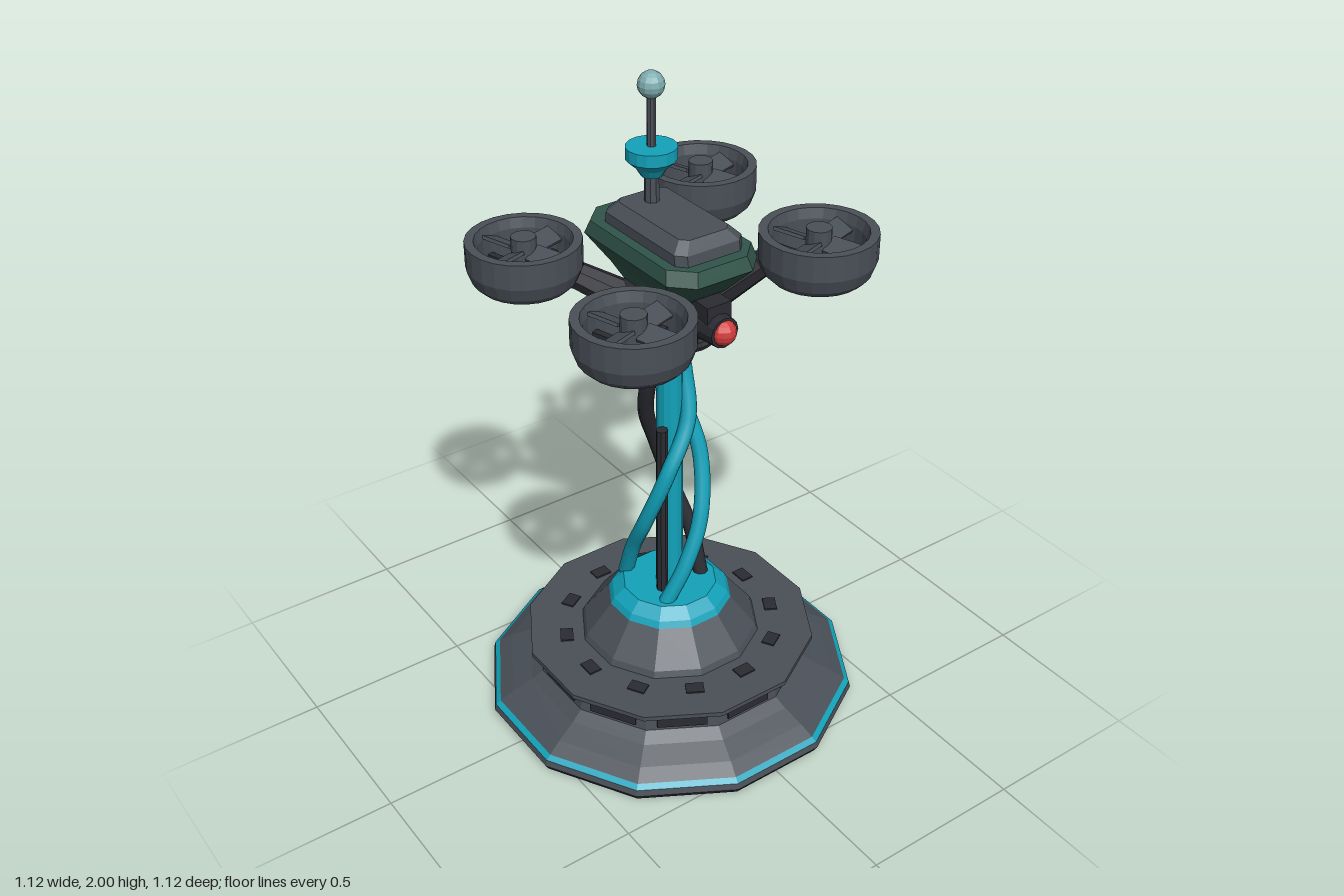
import * as THREE from 'three';

const mat = (name, color) => {
  const m = new THREE.MeshStandardMaterial({ color });
  m.name = name;
  return m;
};

export function createModel() {
  const gray = mat('slate gray', 0x4a5058);
  const dark = mat('charcoal', 0x2b2c33);
  const green = mat('deep green', 0x305449);
  const cyan = mat('cyan', 0x12a2ba);
  const red = mat('lens red', 0xd03c3c);
  const pale = mat('pale teal', 0x7fadb0);

  const model = new THREE.Group();
  model.name = 'droneOnStand';

  // Adds a mesh; faceted parts get their own face normals
  function add(name, geo, material, x = 0, y = 0, z = 0, parent = model, faceted = true) {
    let g = geo;
    if (faceted) {
      g = geo.index ? geo.toNonIndexed() : geo;
      g.computeVertexNormals();
    }
    const mesh = new THREE.Mesh(g, material);
    mesh.name = name;
    mesh.position.set(x, y, z);
    parent.add(mesh);
    return mesh;
  }
  const lathe = (pts, n) => new THREE.LatheGeometry(pts.map(p => new THREE.Vector2(p[0], p[1])), n);
  // Twelve-sided lathe with flat sides on the axes; radii are measured to the flats
  const twelve = (pts) =>
    lathe(pts.map(([r, y]) => [r / Math.cos(Math.PI / 12), y]), 12).rotateY(Math.PI / 12);

  // Eight-sided tapered block; each section is [halfX, halfZ, corner, y, zOffset]
  function octBlock(sections) {
    const pos = [], idx = [], n = 8;
    for (const [a, b, c, y, dz] of sections) {
      const ring = [[a, b - c], [a - c, b], [c - a, b], [-a, b - c], [-a, c - b], [c - a, -b], [a - c, -b], [a, c - b]];
      for (const [x, z] of ring) pos.push(x, y, z + dz);
    }
    for (let s = 0; s < sections.length - 1; s++) {
      for (let i = 0; i < n; i++) {
        const p = s * n + i, q = s * n + (i + 1) % n;
        idx.push(p, p + n, q, q, p + n, q + n);
      }
    }
    const top = (sections.length - 1) * n;
    for (let i = 1; i < n - 1; i++) {
      idx.push(0, i, i + 1);
      idx.push(top, top + i + 1, top + i);
    }
    const g = new THREE.BufferGeometry();
    g.setAttribute('position', new THREE.Float32BufferAttribute(pos, 3));
    g.setIndex(idx);
    return g;
  }

  // Tapered strut between two points
  function strut(name, a, b, ra, rb, material, parent = model) {
    const d = b.clone().sub(a);
    const m = add(name, new THREE.CylinderGeometry(rb, ra, d.length(), 8), material, 0, 0, 0, parent);
    m.position.copy(a).addScaledVector(d, 0.5);
    m.quaternion.setFromUnitVectors(new THREE.Vector3(0, 1, 0), d.normalize());
    return m;
  }

  // Stand base, from the floor up
  add('baseFoot', twelve([[0, 0], [0.55, 0], [0.56, 0.018]]), dark);
  add('baseRim', twelve([[0.56, 0.018], [0.555, 0.037]]), gray);
  add('baseLightBand', twelve([[0.555, 0.037], [0.54, 0.049]]), cyan);
  add('baseSkirt', twelve([[0.54, 0.049], [0.5, 0.075], [0.44, 0.105], [0.405, 0.13], [0.4, 0.17],
    [0.435, 0.195], [0.435, 0.21], [0.27, 0.21]]), gray);
  add('baseCone', twelve([[0.27, 0.21], [0.262, 0.23], [0.185, 0.33]]), gray);
  add('collar', twelve([[0.185, 0.33], [0.175, 0.35], [0.14, 0.38], [0, 0.38]]), cyan);

  // Dark vents around the waist and inlays on the deck
  for (let i = 0; i < 12; i++) {
    const pivot = new THREE.Group();
    pivot.name = 'baseDetail';
    pivot.rotation.y = i * Math.PI / 6;
    model.add(pivot);
    add('vent', new THREE.BoxGeometry(0.15, 0.03, 0.008), dark, 0, 0.155, 0.404, pivot);
    add('deckInlay', new THREE.BoxGeometry(0.055, 0.006, 0.04), dark, 0.045, 0.212, 0.325, pivot);
  }

  // Central column and the three cables twisting round it
  add('column', new THREE.CylinderGeometry(0.038, 0.042, 0.92, 12), cyan, 0, 0.82, 0);
  function cable(name, pts, material) {
    const curve = new THREE.CatmullRomCurve3(pts.map(p => new THREE.Vector3(...p)));
    add(name, new THREE.TubeGeometry(curve, 48, 0.024, 8), material, 0, 0, 0, model, false);
  }
  cable('leftCable', [[-0.075, 0.36, -0.13], [-0.085, 0.5, -0.07], [-0.095, 0.64, 0.01], [-0.055, 0.82, 0.065],
    [0.03, 0.98, 0.05], [0.045, 1.12, 0.01], [0.03, 1.29, -0.02]], cyan);
  cable('frontCable', [[-0.075, 0.36, 0.08], [-0.01, 0.5, 0.1], [0.05, 0.65, 0.09], [0.085, 0.84, 0.035],
    [0.06, 1.0, -0.025], [0.015, 1.14, -0.05], [-0.01, 1.29, -0.04]], cyan);
  cable('darkCable', [[0.1, 0.36, 0.03], [0.095, 0.52, -0.02], [0.06, 0.67, -0.07], [0.01, 0.84, -0.085],
    [-0.045, 0.98, -0.055], [-0.065, 1.12, -0.01], [-0.055, 1.29, 0.02]], dark);
  add('backConduit', new THREE.CylinderGeometry(0.018, 0.018, 0.6, 8), dark, -0.048, 0.66, 0.03);

  // Drone body
  add('body', octBlock([[0.08, 0.12, 0.03, 1.4, 0], [0.1, 0.18, 0.04, 1.45, 0], [0.15, 0.255, 0.06, 1.53, 0],
    [0.14, 0.24, 0.06, 1.57, 0]]), green);
  add('canopy', octBlock([[0.11, 0.19, 0.025, 1.565, 0.015], [0.11, 0.185, 0.025, 1.6, 0.015],
    [0.08, 0.16, 0.02, 1.63, 0.015]]), gray);
  add('mountHub', new THREE.CylinderGeometry(0.13, 0.065, 0.15, 8), dark, 0, 1.335, 0);

  // Four ducted rotors on sloping arms; the +x pair sits higher
  for (const sx of [-1, 1]) {
    for (const sz of [-1, 1]) {
      const top = sx > 0 ? 1.595 : 1.525;
      const rotor = new THREE.Group();
      rotor.name = (sz > 0 ? 'front' : 'back') + (sx > 0 ? 'Left' : 'Right') + 'Rotor';
      rotor.position.set(sx * 0.302, top, sz * 0.268);
      model.add(rotor);
      add('duct', lathe([[0.13, -0.135], [0.15, -0.115], [0.164, -0.075], [0.164, 0], [0.138, 0],
        [0.13, -0.03], [0.13, -0.135]], 24), gray, 0, 0, 0, rotor);
      add('motor', new THREE.CylinderGeometry(0.036, 0.036, 0.1, 12), gray, 0, -0.042, 0, rotor);
      for (let k = 0; k < 4; k++) {
        const pivot = new THREE.Group();
        pivot.name = 'bladePivot';
        pivot.rotation.y = k * Math.PI / 2 + 0.3;
        rotor.add(pivot);
        const blade = add('blade', new THREE.BoxGeometry(0.1, 0.01, 0.06), gray, 0.08, -0.035, 0, pivot);
        blade.rotation.x = 0.4;
        const brace = add('brace', new THREE.BoxGeometry(0.12, 0.02, 0.02), dark, 0.08, -0.095, 0, pivot);
        brace.rotation.y = 0;
      }
      const inner = new THREE.Vector3(sx * 0.03, 1.32, sz * 0.03);
      const knee = new THREE.Vector3(sx * 0.19, top - 0.105, sz * 0.17);
      const hub = new THREE.Vector3(sx * 0.302, top - 0.1, sz * 0.268);
      strut('arm', inner, knee, 0.055, 0.04, dark);
      strut('armTip', knee, hub, 0.04, 0.025, dark);
    }
  }

  // Camera with hooked gimbal under the nose
  const camera = new THREE.Group();
  camera.name = 'camera';
  model.add(camera);
  add('cameraBracket', new THREE.BoxGeometry(0.08, 0.07, 0.14), dark, 0, 1.41, 0.16, camera);
  const barrel = new THREE.CylinderGeometry(0.045, 0.055, 0.11, 12).rotateX(Math.PI / 2);
  add('cameraBarrel', barrel, dark, 0, 1.37, 0.2, camera);
  add('lens', new THREE.SphereGeometry(0.038, 12, 8), red, 0, 1.37, 0.247, camera);
  const hook = add('gimbalHook', new THREE.TorusGeometry(0.07, 0.018, 8, 20, Math.PI * 1.1), dark, 0, 1.35, 0.14, camera);
  hook.rotation.z = Math.PI * 0.95;

  // Antenna with dish and beacon
  const mast = new THREE.Group();
  mast.name = 'antenna';
  mast.position.z = -0.083;
  model.add(mast);
  add('mastBase', new THREE.CylinderGeometry(0.02, 0.022, 0.12, 8), gray, 0, 1.67, 0, mast);
  add('dish', lathe([[0, 1.705], [0.03, 1.705], [0.045, 1.73], [0.072, 1.755], [0.072, 1.79], [0, 1.79]], 16),
    cyan, 0, 0, 0, mast);
  add('mastRod', new THREE.CylinderGeometry(0.013, 0.013, 0.16, 8), gray, 0, 1.86, 0, mast);
  add('beacon', new THREE.SphereGeometry(0.038, 12, 8), pale, 0, 1.962, 0, mast);

  return model;
}
